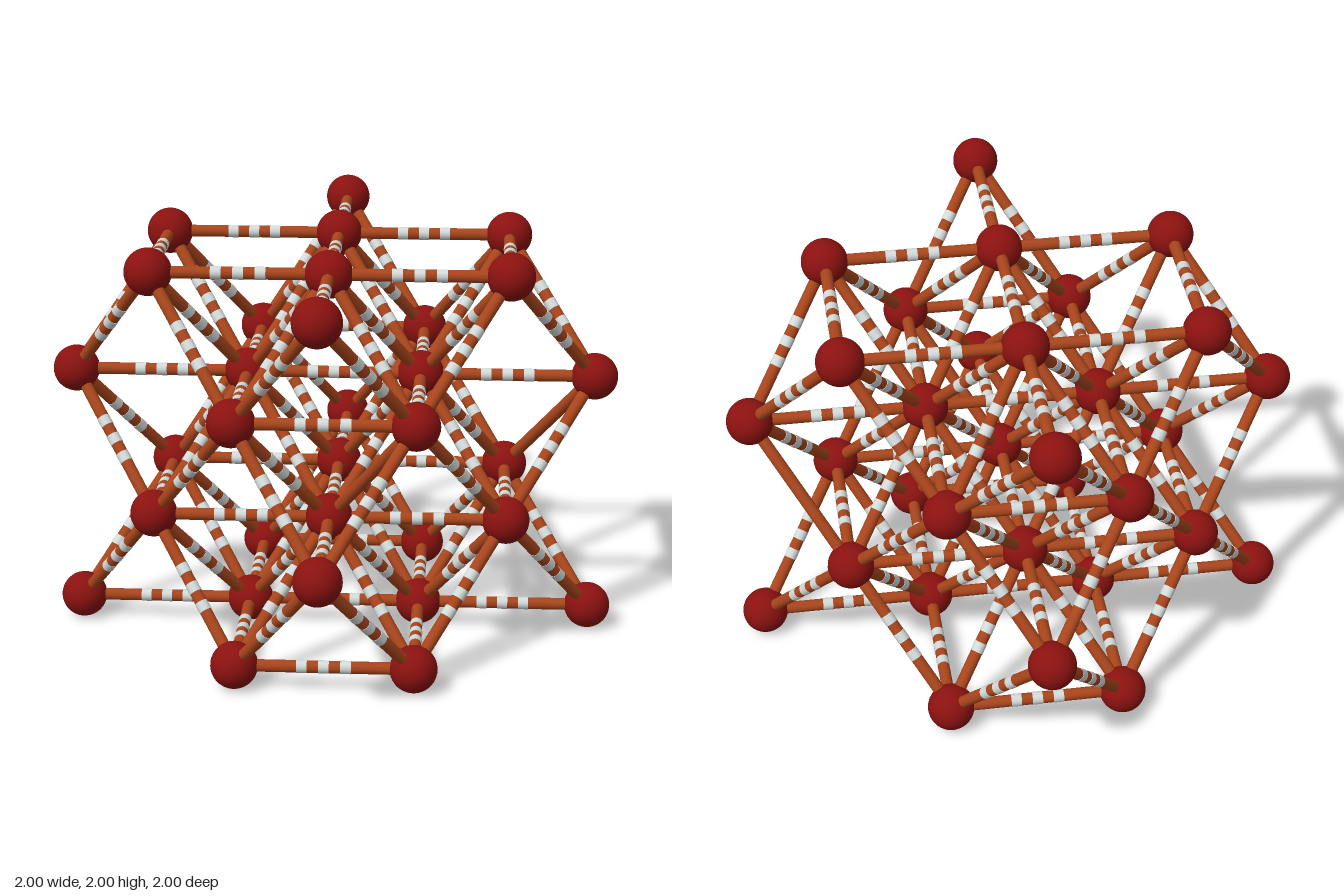
import * as THREE from 'three';

const STEP = 0.592, NODE_R = 0.112, ROD_R = 0.029;

export function createModel() {
  const model = new THREE.Group();
  model.name = 'latticeModel';

  const red = new THREE.MeshStandardMaterial({ color: 0x8b1210 });
  const brown = new THREE.MeshStandardMaterial({ color: 0xa8451c });
  const white = new THREE.MeshStandardMaterial({ color: 0xd2dada });

  const length = STEP * Math.SQRT2;
  const nodeGeo = new THREE.SphereGeometry(NODE_R, 32, 20);
  const rodGeo = new THREE.CylinderGeometry(ROD_R, ROD_R, length, 16, 1, true);
  const ringGeo = new THREE.CylinderGeometry(ROD_R + 0.002, ROD_R + 0.002, 0.05, 16);

  const point = (i, j, k) => new THREE.Vector3(
    (i - 1.5) * STEP, 1 + (j - 1.5) * STEP, (k - 1.5) * STEP);

  // A bond is a rod with three pale bands round its middle
  function addBond(a, b, banded) {
    const bond = new THREE.Group();
    bond.name = banded ? 'bandedBond' : 'plainBond';
    const rod = new THREE.Mesh(rodGeo, brown);
    rod.name = 'rod';
    bond.add(rod);
    for (const y of banded ? [-0.103, 0, 0.103] : []) {
      const ring = new THREE.Mesh(ringGeo, white);
      ring.name = 'band';
      ring.position.y = y;
      bond.add(ring);
    }
    bond.position.addVectors(a, b).multiplyScalar(0.5);
    bond.quaternion.setFromUnitVectors(
      new THREE.Vector3(0, 1, 0), b.clone().sub(a).normalize());
    model.add(bond);
  }

  // Half of the twelve face-diagonal directions, so each bond is made once
  const directions = [
    [1, 1, 0], [1, -1, 0], [1, 0, 1], [1, 0, -1], [0, 1, 1], [0, 1, -1],
  ];
  const inside = (n) => n >= 0 && n <= 3;

  // Face-centred lattice: every second point of a 4 x 4 x 4 grid
  for (let i = 0; i < 4; i++) for (let j = 0; j < 4; j++) for (let k = 0; k < 4; k++) {
    if ((i + j + k) % 2) continue;
    const node = new THREE.Mesh(nodeGeo, red);
    node.name = 'node';
    node.position.copy(point(i, j, k));
    model.add(node);

    for (const [di, dj, dk] of directions) {
      const [p, q, r] = [i + di, j + dj, k + dk];
      if (![p, q, r].every(inside)) continue;
      // The bonds of one row at the front have no bands
      const plain = di === 0 && j === 1 && k === 2 && dk === 1;
      addBond(point(i, j, k), point(p, q, r), !plain);
    }
  }
  return model;
}
